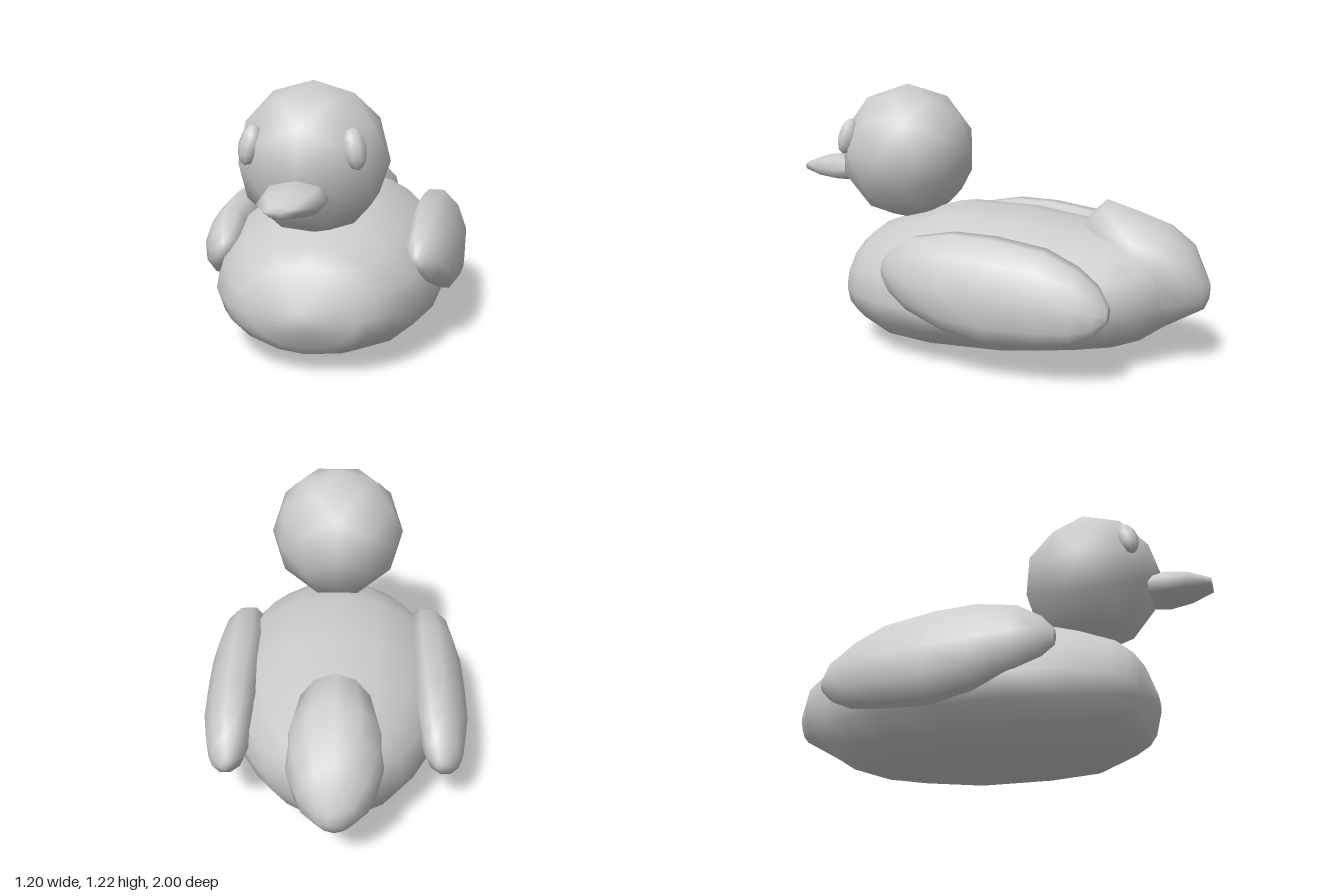
import * as THREE from 'three';

// Smooth skin over oval rings running front to back.
// ring: [z, halfWidth, bottomY, widestY, topY, centreX = 0]; shear leans the ring sideways.
function loft(rings, sides, shear = 0) {
  const pos = [], idx = [];
  for (const [z, w, bot, mid, top, cx = 0] of rings) {
    for (let i = 0; i < sides; i++) {
      const a = (i / sides) * Math.PI * 2, s = Math.sin(a);
      const dy = s * (s > 0 ? top - mid : mid - bot);
      pos.push(cx + w * Math.cos(a) + shear * dy, mid + dy, z);
    }
  }
  const last = (rings.length - 1) * sides;
  for (let r = 0; r < rings.length - 1; r++) {
    for (let i = 0; i < sides; i++) {
      const a = r * sides + i, b = r * sides + ((i + 1) % sides);
      idx.push(a, a + sides, b, b, a + sides, b + sides);
    }
  }
  // end caps
  const front = pos.length / 3, f = rings[0], k = rings[rings.length - 1];
  pos.push(f[5] || 0, (f[2] + f[4]) / 2, f[0], k[5] || 0, (k[2] + k[4]) / 2, k[0]);
  for (let i = 0; i < sides; i++) {
    const j = (i + 1) % sides;
    idx.push(front, i, j, front + 1, last + j, last + i);
  }
  const g = new THREE.BufferGeometry();
  g.setAttribute('position', new THREE.Float32BufferAttribute(pos, 3));
  g.setIndex(idx);
  g.computeVertexNormals();
  return g;
}

export function createModel() {
  const grey = new THREE.MeshStandardMaterial({ color: 0xcccccc });
  grey.name = 'plain grey';
  const duck = new THREE.Group();
  duck.name = 'duck';
  const add = (name, geometry) => {
    const m = new THREE.Mesh(geometry, grey);
    m.name = name;
    duck.add(m);
    return m;
  };

  // Body: broad low hull, narrowing to the back
  add('body', loft([
    [0.72, 0.07, 0.22, 0.26, 0.30],
    [0.68, 0.23, 0.13, 0.27, 0.42],
    [0.64, 0.30, 0.09, 0.27, 0.48],
    [0.57, 0.37, 0.06, 0.27, 0.54],
    [0.41, 0.46, 0.005, 0.27, 0.60],
    [0.18, 0.525, 0, 0.27, 0.67],
    [-0.15, 0.52, 0.005, 0.28, 0.66],
    [-0.42, 0.46, 0.035, 0.30, 0.62],
    [-0.60, 0.37, 0.06, 0.32, 0.60],
    [-0.72, 0.29, 0.10, 0.34, 0.57],
    [-0.81, 0.19, 0.16, 0.37, 0.54],
    [-0.90, 0.10, 0.24, 0.39, 0.48],
  ], 16));

  // Tail: rounded bump rising from the back
  add('tail', loft([
    [-0.42, 0.06, 0.45, 0.54, 0.61],
    [-0.53, 0.17, 0.25, 0.50, 0.725],
    [-0.68, 0.21, 0.12, 0.46, 0.68],
    [-0.81, 0.20, 0.16, 0.43, 0.635],
    [-0.92, 0.155, 0.225, 0.40, 0.55],
    [-0.98, 0.08, 0.26, 0.36, 0.42],
    [-1.00, 0.03, 0.31, 0.345, 0.38],
  ], 12));

  // Wings: long pods leaning in at the top
  for (const s of [1, -1]) {
    add(s > 0 ? 'leftWing' : 'rightWing', loft([
      [0.37, 0.03, 0.39, 0.43, 0.47, s * 0.44],
      [0.32, 0.075, 0.33, 0.43, 0.53, s * 0.45],
      [0.22, 0.105, 0.27, 0.42, 0.59, s * 0.47],
      [0.04, 0.125, 0.20, 0.40, 0.625, s * 0.475],
      [-0.15, 0.125, 0.165, 0.39, 0.62, s * 0.475],
      [-0.38, 0.12, 0.18, 0.38, 0.585, s * 0.472],
      [-0.52, 0.10, 0.20, 0.36, 0.52, s * 0.468],
      [-0.61, 0.075, 0.245, 0.345, 0.45, s * 0.465],
      [-0.66, 0.03, 0.30, 0.335, 0.37, s * 0.46],
    ], 10, -s * 0.17));
  }

  // Head
  add('head', new THREE.IcosahedronGeometry(0.323, 1)).position.set(0, 0.893, 0.453);

  // Beak: blunt tip widening back into the head
  add('beak', loft([
    [1.00, 0.06, 0.775, 0.80, 0.82],
    [0.90, 0.12, 0.75, 0.80, 0.855],
    [0.80, 0.135, 0.735, 0.80, 0.87],
    [0.66, 0.10, 0.75, 0.80, 0.85],
  ], 8));

  // Eyes: small upright ovals
  for (const s of [1, -1]) {
    const eye = add(s > 0 ? 'leftEye' : 'rightEye', new THREE.SphereGeometry(1, 8, 6));
    eye.scale.set(0.05, 0.085, 0.042);
    eye.position.set(s * 0.212, 0.98, 0.665);
    eye.rotation.set(-0.3, s * 0.75, 0, 'YXZ');
  }
  return duck;
}
